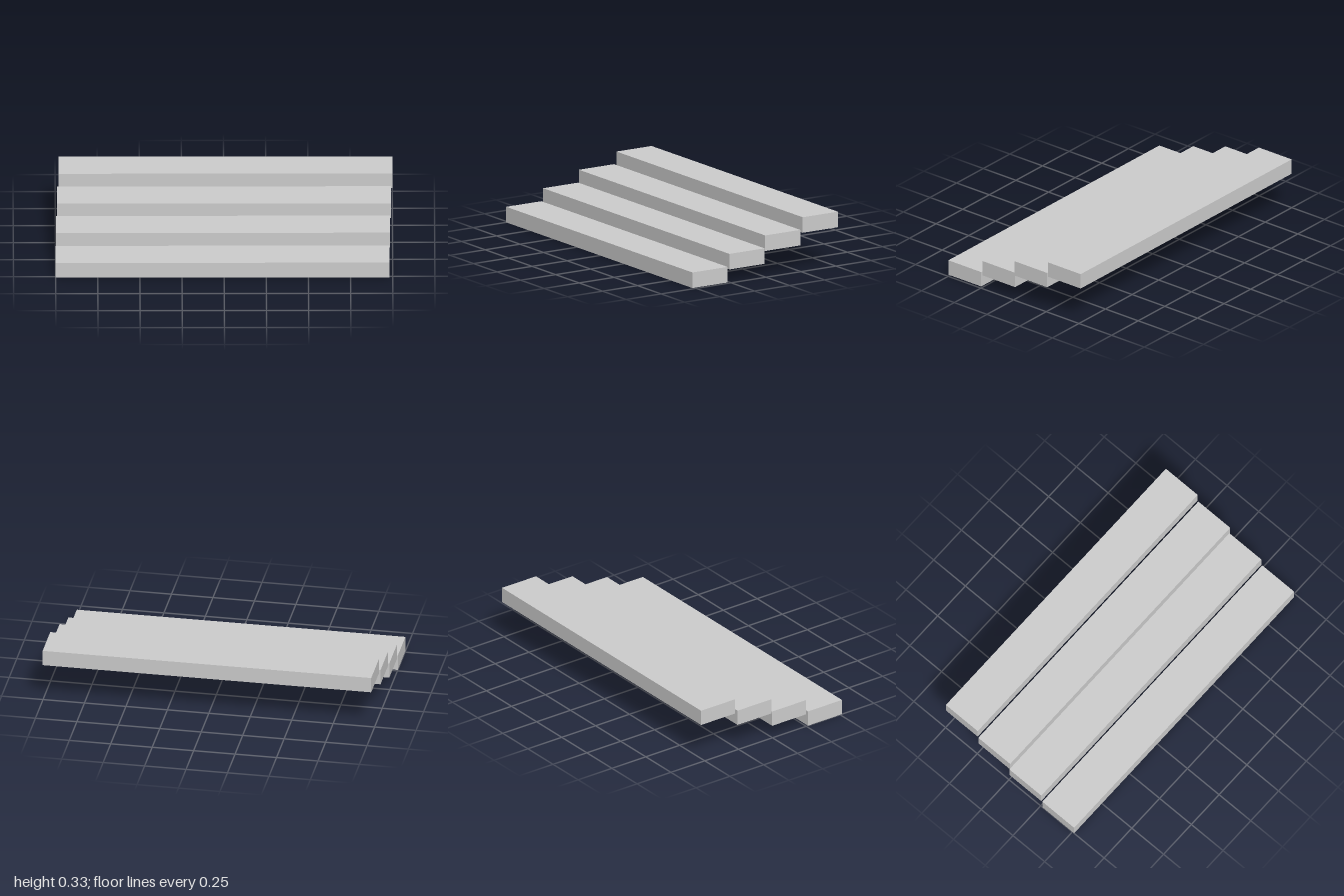
import * as THREE from 'three';

export function createModel() {
  const model = new THREE.Group();
  model.name = 'steps';
  const material = new THREE.MeshStandardMaterial({ color: 0xcccccc, flatShading: true });
  const slab = new THREE.BoxGeometry(1.982, 0.095, 0.251);

  // Centre of each slab, lowest front step first, slightly staggered sideways
  const centres = [
    [-0.009, 0.0475, 0.388],
    [-0.006, 0.126, 0.126],
    [0.001, 0.206, -0.125],
    [0.009, 0.283, -0.388],
  ];
  centres.forEach((centre, i) => {
    const step = new THREE.Mesh(slab, material);
    step.name = `step${i + 1}`;
    step.position.set(...centre);
    model.add(step);
  });
  return model;
}
